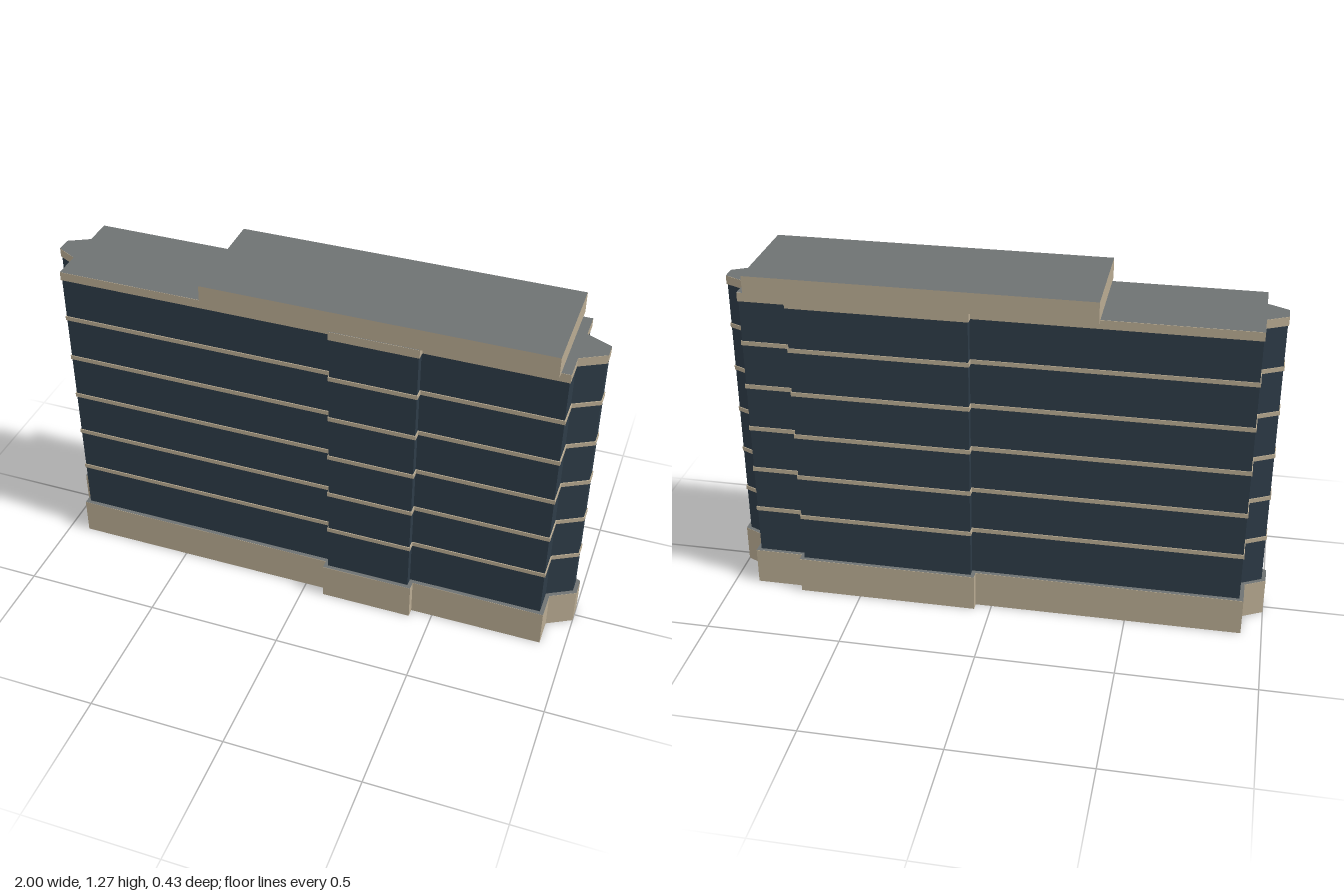
import * as THREE from 'three';

// Footprint as [x, -z], counter-clockwise, starting at the front corner on the -x side
const FOOTPRINT = [
  [-0.925, -0.183], [0.08, -0.183], [0.08, -0.215], [0.42, -0.215], [0.42, -0.183],
  [0.91, -0.183], [0.91, -0.08], [1, -0.03], [1, 0.037], [0.91, 0.08], [0.91, 0.183],
  [0.73, 0.183], [0.73, 0.213], [0.06, 0.213], [0.06, 0.183],
  [-0.925, 0.183], [-0.925, 0.075], [-1, 0.035], [-1, -0.035], [-0.925, -0.075],
].map(([x, y]) => new THREE.Vector2(x, y));

// Footprint moved inwards by d with mitred corners
function insetShape(d) {
  const n = FOOTPRINT.length;
  const inward = (a, b) => new THREE.Vector2(a.y - b.y, b.x - a.x).normalize();
  return new THREE.Shape(FOOTPRINT.map((p, i) => {
    const n1 = inward(FOOTPRINT[(i + n - 1) % n], p);
    const n2 = inward(p, FOOTPRINT[(i + 1) % n]);
    const k = d / (1 + n1.dot(n2));
    return p.clone().add(n1.add(n2).multiplyScalar(k));
  }));
}

export function createModel() {
  const group = new THREE.Group();
  const mat = (name, color) => new THREE.MeshStandardMaterial({ name, color });
  const stone = mat('stone', 0xb9ab92);
  const glass = mat('glass', 0x2d3b47);
  const roofGrey = mat('roofGrey', 0x6e7272);

  const add = (name, geometry, material) => {
    const mesh = new THREE.Mesh(geometry, material);
    mesh.name = name;
    group.add(mesh);
    return mesh;
  };
  const storey = (name, inset, y0, y1, material) => {
    const g = new THREE.ExtrudeGeometry(insetShape(inset), { depth: y1 - y0, bevelEnabled: false });
    add(name, g.rotateX(-Math.PI / 2).translate(0, y0, 0), material);
  };
  const deck = (name, inset, y) =>
    add(name, new THREE.ShapeGeometry(insetShape(inset)).rotateX(-Math.PI / 2).translate(0, y, 0), roofGrey);

  // Ground floor plinth with its ledge
  storey('plinth', 0, 0, 0.14, stone);
  deck('plinthLedge', 0, 0.141);

  // Glazed body with floor bands and parapet
  storey('glazing', 0.015, 0.14, 1.165, glass);
  for (let i = 0; i < 5; i++) {
    const y = 0.321 + i * 0.1705;
    storey('floorBand' + (i + 1), 0.0115, y - 0.008, y + 0.008, stone);
  }
  storey('parapet', 0.0115, 1.163, 1.195, stone);
  deck('mainRoof', 0.0115, 1.196);

  // Penthouse on the roof: stone sides and underside, grey top
  const box = new THREE.BoxGeometry(1.235, 0.077, 0.404).translate(0.2475, 1.2335, -0.001);
  add('penthouse', box, [stone, stone, roofGrey, stone, stone, stone]);

  return group;
}
